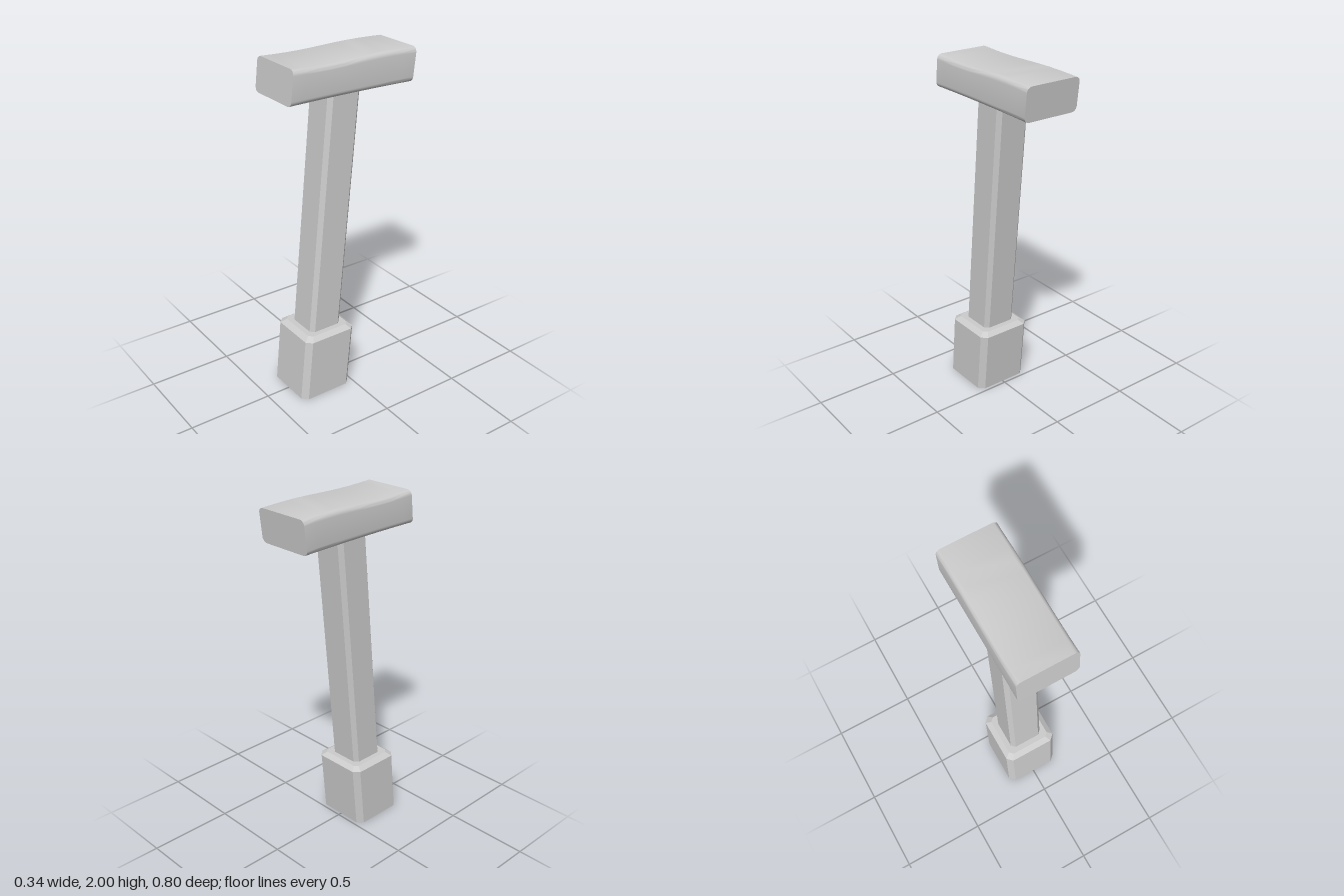
import * as THREE from 'three';
import { toCreasedNormals } from 'three/addons/utils/BufferGeometryUtils.js';

const material = new THREE.MeshStandardMaterial({ color: 0xcccccc });
const LEAN = -0.096; // z shift per unit of height
const FOOT_Z = 0.187;

// Square outline with cut corners, counter-clockwise seen from above
function cutSquare(half, cut, y) {
  const a = half, b = half - cut, z = FOOT_Z + LEAN * y;
  return [[a, b], [a, -b], [b, -a], [-b, -a], [-a, -b], [-a, b], [-b, a], [b, a]]
    .map(([px, pz]) => [px, y, z + pz]);
}

// Flat-shaded solid through equal-length outlines, closed at both ends
function loft(sections) {
  const n = sections[0].length;
  const last = (sections.length - 1) * n;
  const index = [];
  for (let s = 0; s < sections.length - 1; s++) {
    for (let i = 0; i < n; i++) {
      const a = s * n + i, b = s * n + (i + 1) % n;
      index.push(a, b, b + n, a, b + n, a + n);
    }
  }
  for (let i = 1; i < n - 1; i++) {
    index.push(0, i + 1, i);
    index.push(last, last + i, last + i + 1);
  }
  const geometry = new THREE.BufferGeometry();
  geometry.setAttribute('position', new THREE.Float32BufferAttribute(sections.flat(2), 3));
  geometry.setIndex(index);
  const flat = geometry.toNonIndexed();
  flat.computeVertexNormals();
  return flat;
}

// Rounded bar running front to back, with slanted ends and a slight wave
function headGeometry() {
  const w = 0.17, h = 0.095, r = 0.03;
  const shape = new THREE.Shape();
  shape.absarc(w - r, h - r, r, 0, Math.PI / 2);
  shape.absarc(-w + r, h - r, r, Math.PI / 2, Math.PI);
  shape.absarc(-w + r, -h + r, r, Math.PI, Math.PI * 1.5);
  shape.absarc(w - r, -h + r, r, Math.PI * 1.5, Math.PI * 2);
  shape.closePath();
  const geometry = new THREE.ExtrudeGeometry(shape, {
    depth: 0.78, steps: 10, curveSegments: 3, bevelEnabled: false,
  });
  geometry.translate(0, 0, -0.39);
  const p = geometry.attributes.position;
  for (let i = 0; i < p.count; i++) {
    const y = p.getY(i), z = p.getZ(i);
    const t = z / 0.39;
    const wave = y > 0
      ? 0.004 * t - 0.005 * Math.sin(Math.PI * t)   // top dips, then lifts
      : 0.004 * t + 0.004 * (1 - t * t);            // underside arches
    p.setY(i, 1.902 + y + wave);
    p.setZ(i, z - 0.115 * y);
  }
  return toCreasedNormals(geometry, 0.6);
}

function addMesh(group, name, geometry) {
  const mesh = new THREE.Mesh(geometry, material);
  mesh.name = name;
  group.add(mesh);
}

export function createModel() {
  const group = new THREE.Group();
  group.name = 'leaningPost';

  // Foot block with chamfered top
  addMesh(group, 'foot', loft([
    cutSquare(0.166, 0.032, 0),
    cutSquare(0.166, 0.032, 0.378),
    cutSquare(0.135, 0.022, 0.4),
  ]));

  // Leaning shaft, running a little into foot and head
  addMesh(group, 'shaft', loft([
    cutSquare(0.103, 0.023, 0.38),
    cutSquare(0.103, 0.023, 1.84),
  ]));

  addMesh(group, 'head', headGeometry());
  return group;
}
